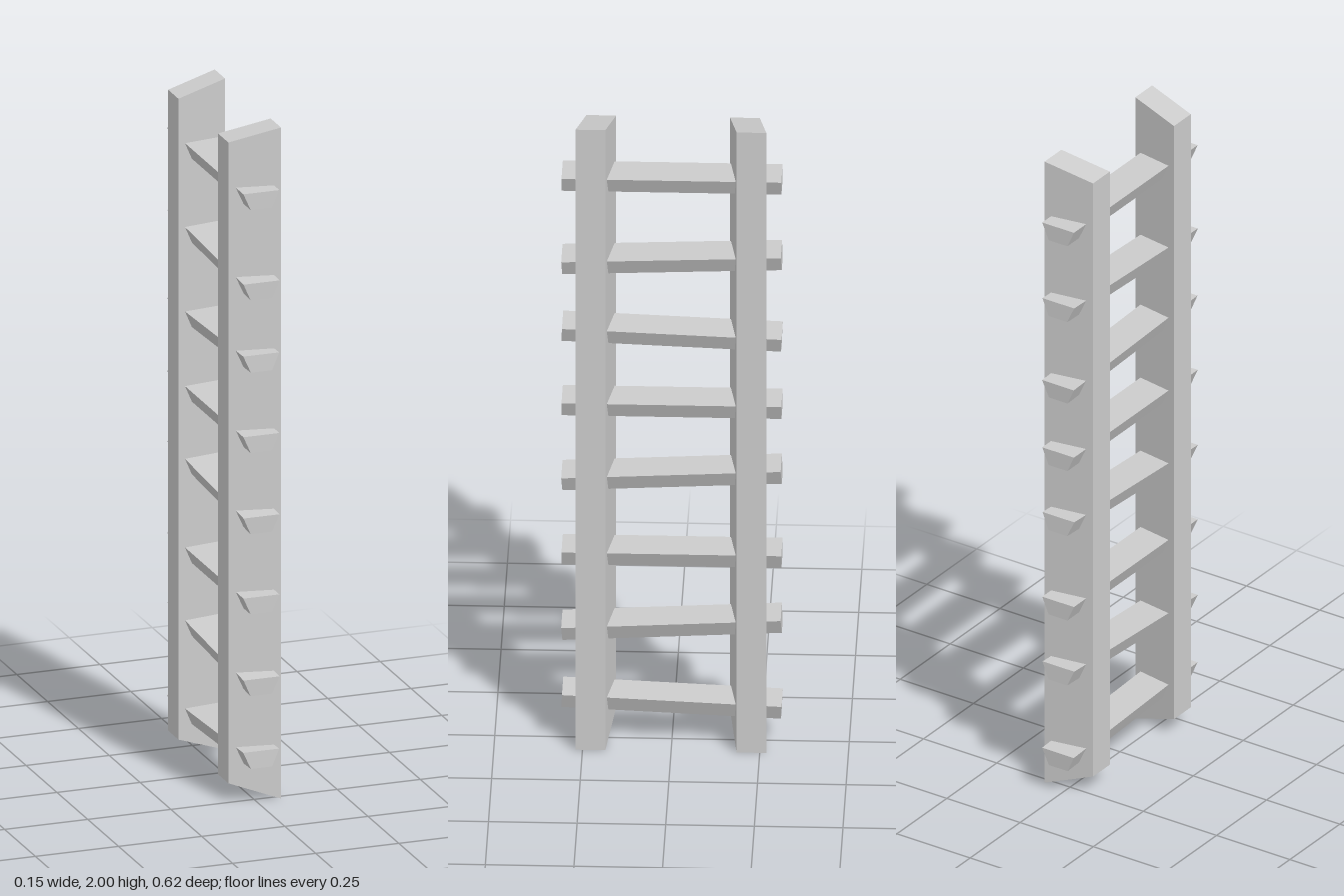
import * as THREE from 'three';

const material = new THREE.MeshStandardMaterial({ color: 0xcccccc, flatShading: true });

// Extrudes an outline in x,y along z, centred on z = 0
function prism(points, depth) {
  const shape = new THREE.Shape(points.map(([x, y]) => new THREE.Vector2(x, y)));
  return new THREE.ExtrudeGeometry(shape, { depth, bevelEnabled: false }).translate(0, 0, -depth / 2);
}

// Upright with slanted ends, sheared so that the pair splays towards +x
function rail(name, z, slope) {
  const geometry = prism([[-0.075, 0.055], [0.074, 0], [0.074, 2], [-0.075, 1.965]], 0.084);
  const p = geometry.attributes.position;
  for (let i = 0; i < p.count; i++) p.setZ(i, p.getZ(i) + z + slope * p.getX(i));
  geometry.computeVertexNormals();
  const mesh = new THREE.Mesh(geometry, material);
  mesh.name = name;
  return mesh;
}

export function createModel() {
  const ladder = new THREE.Group();
  ladder.name = 'ladder';
  ladder.add(rail('frontRail', 0.215, 0.17), rail('backRail', -0.215, -0.16));

  // Rungs: wider on top, each with the height of its front and back end
  const length = 0.62;
  const rungGeometry = prism([[-0.032, -0.025], [0.032, -0.025], [0.054, 0.025], [-0.054, 0.025]], length);
  const ends = [
    [0.139, 0.113], [0.355, 0.39], [0.599, 0.599], [0.838, 0.871],
    [1.08, 1.08], [1.32, 1.297], [1.535, 1.56], [1.804, 1.804],
  ];
  ends.forEach(([front, back], i) => {
    const rung = new THREE.Mesh(rungGeometry, material);
    rung.name = `rung${i + 1}`;
    rung.position.y = (front + back) / 2;
    rung.rotation.x = -Math.atan2(front - back, length);
    ladder.add(rung);
  });
  return ladder;
}
